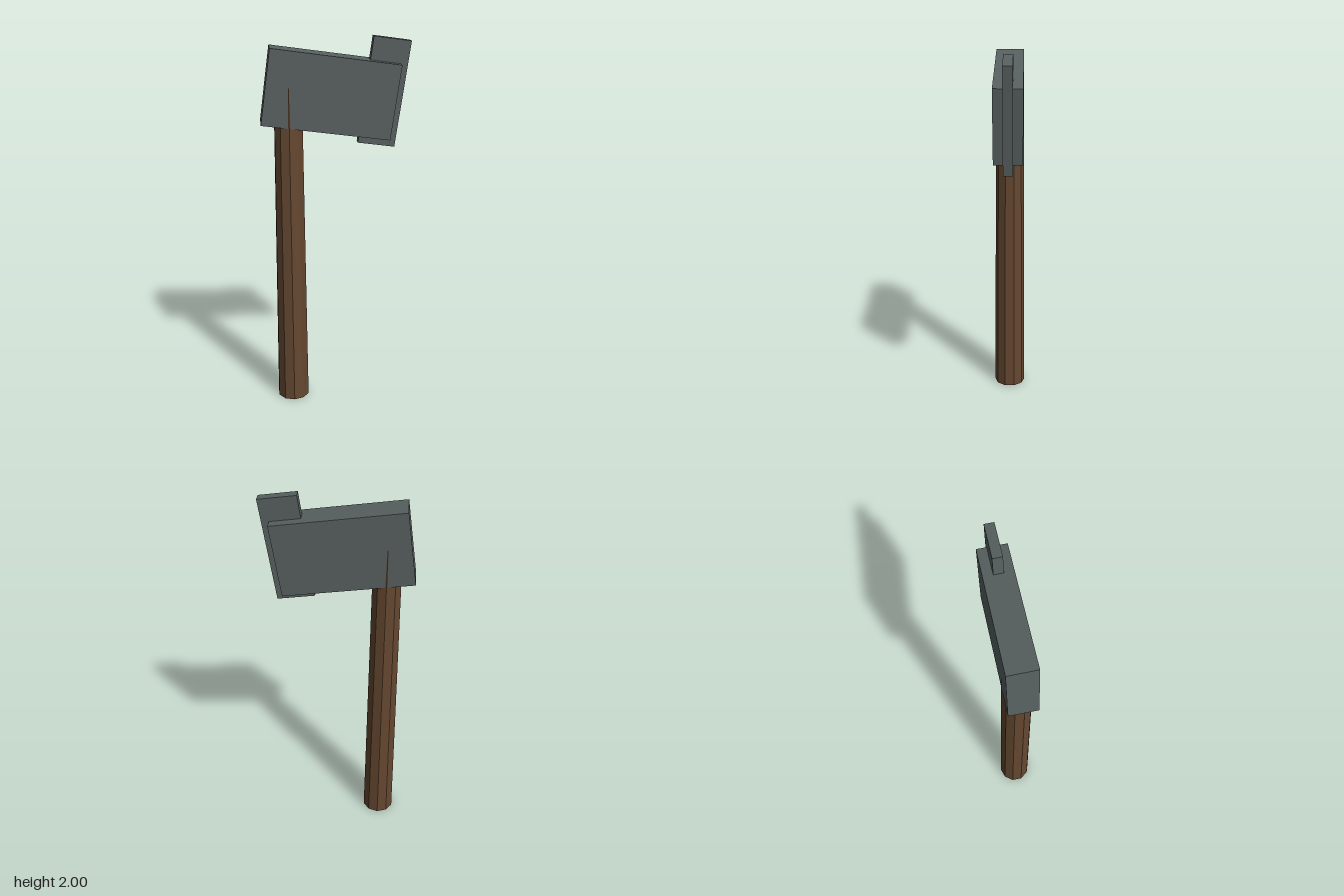
import * as THREE from 'three';

const TILT = THREE.MathUtils.degToRad(-8);

export function createModel() {
  const model = new THREE.Group();
  model.name = 'axe';

  const wood = new THREE.MeshStandardMaterial({ color: 0x654831, flatShading: true });
  wood.name = 'brown wood';
  const steel = new THREE.MeshStandardMaterial({ color: 0x586060, flatShading: true });
  steel.name = 'grey steel';

  const add = (name, geometry, material, x, y, tilt = 0) => {
    const mesh = new THREE.Mesh(geometry, material);
    mesh.name = name;
    mesh.position.set(x, y, 0);
    mesh.rotation.z = tilt;
    model.add(mesh);
  };

  // Ten-sided tapering handle, running up into the head
  const length = 1.76;
  add('handle', new THREE.CylinderGeometry(0.0735, 0.0875, length, 10), wood, -0.241, length / 2);

  // Tilted head block and the thin, taller blade set into its end
  add('head', new THREE.BoxGeometry(0.662, 0.384, 0.146), steel, -0.028, 1.719, TILT);
  add('blade', new THREE.BoxGeometry(0.192, 0.543, 0.048), steel, 0.247, 1.719, TILT);

  return model;
}
